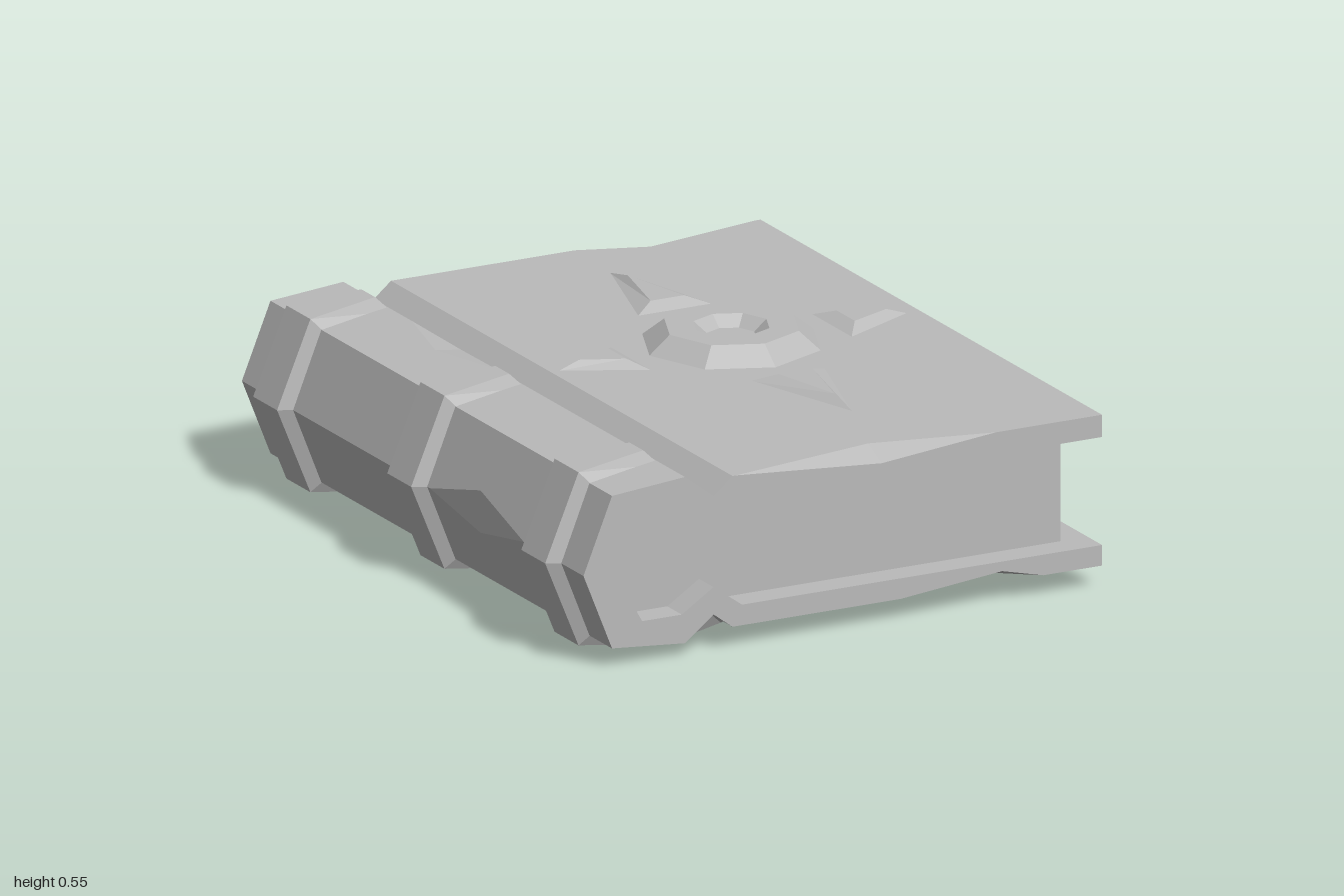
import * as THREE from 'three';

const V = (x, y, z) => new THREE.Vector3(x, y, z);
const stone = new THREE.MeshStandardMaterial({ color: 0xbababa });
stone.name = 'plain grey';

// Flat-faced mesh from a list of planar polygons (corners counter-clockwise from outside)
function newell(poly) {
  const n = V(0, 0, 0);
  poly.forEach((p, i) => n.add(p.clone().cross(poly[(i + 1) % poly.length])));
  return n.normalize();
}

function meshFrom(name, polys) {
  const out = [];
  for (const poly of polys) {
    const n = newell(poly);
    const u = (Math.abs(n.z) > 0.9 ? V(1, 0, 0) : V(0, 0, 1)).cross(n).normalize();
    const v = n.clone().cross(u);
    const flat = poly.map((p) => new THREE.Vector2(p.dot(u), p.dot(v)));
    for (const [a, b, c] of THREE.ShapeUtils.triangulateShape(flat, [])) {
      const t = [poly[a], poly[b], poly[c]];
      if (newell2(t).dot(n) < 0) t.reverse();
      t.forEach((p) => out.push(p.x, p.y, p.z));
    }
  }
  const g = new THREE.BufferGeometry();
  g.setAttribute('position', new THREE.Float32BufferAttribute(out, 3));
  g.computeVertexNormals();
  const m = new THREE.Mesh(g, stone);
  m.name = name;
  return m;
}

const newell2 = ([a, b, c]) => b.clone().sub(a).cross(c.clone().sub(a));

// Closed xy outline (counter-clockwise) pushed along z
function prism(outline, h) {
  const front = outline.map(([x, y]) => V(x, y, h));
  const back = outline.map(([x, y]) => V(x, y, -h));
  const polys = [front.slice(), back.slice().reverse()];
  front.forEach((p, i) => {
    const j = (i + 1) % front.length;
    polys.push([p.clone(), back[i].clone(), back[j].clone(), front[j].clone()]);
  });
  return polys;
}

// Cut a chip out of the edge A-B, reaching P and Q on the two faces beside it
function chip(polys, A, B, P, Q) {
  const onEdge = (p, a, b) => a.distanceTo(p) + p.distanceTo(b) - a.distanceTo(b) < 1e-5;
  for (const poly of polys) {
    const n = newell(poly);
    const off = (p) => Math.abs(p.clone().sub(poly[0]).dot(n));
    for (let i = 0; i < poly.length; i++) {
      const a = poly[i], b = poly[(i + 1) % poly.length];
      if (!onEdge(A, a, b) || !onEdge(B, a, b)) continue;
      const apex = off(P) < off(Q) ? P : Q;
      const [s, e] = a.distanceTo(A) < a.distanceTo(B) ? [A, B] : [B, A];
      poly.splice(i + 1, 0, s, apex, e);
      break;
    }
  }
  for (const [s, e] of [[A, B], [B, A]]) {
    const t = [s, P, Q];
    if (newell2(t).dot(e.clone().sub(s)) < 0) t.reverse();
    polys.push(t);
  }
}

// Strap wrapped around the spine: stations of ridge xy, foot xy, ridge and foot half-width
function strap(zc) {
  const stations = [
    [-0.48, 0.522, -0.48, 0.52, 0.05, 0.052],
    [-0.515, 0.557, -0.5, 0.515, 0.04, 0.056],
    [-0.735, 0.535, -0.7, 0.495, 0.07, 0.095],
    [-0.84, 0.285, -0.79, 0.285, 0.07, 0.095],
    [-0.735, 0.03, -0.7, 0.07, 0.07, 0.095],
    [-0.475, 0.003, -0.475, 0.043, 0.095, 0.145],
    [-0.39, 0.018, -0.39, 0.115, 0.095, 0.145],
    [-0.3, 0.037, -0.3, 0.07, 0.095, 0.145],
    [-0.12, 0.037, -0.07, 0.068, 0.004, 0.006],
  ].map(([x, y, bx, by, w, bw]) => [
    V(bx, by, zc - bw), V(x, y, zc - w), V(x, y, zc + w), V(bx, by, zc + bw),
  ]);
  const polys = [stations[0].slice().reverse()];
  for (let i = 0; i + 1 < stations.length; i++) {
    const s = stations[i], t = stations[i + 1];
    for (let k = 0; k < 3; k++) {
      polys.push([s[k + 1], s[k], t[k]], [s[k + 1], t[k], t[k + 1]]);
    }
  }
  polys.push(stations[stations.length - 1]);
  return meshFrom('spineStrap', polys);
}

// Bevelled arrow on the cover; points along +z before it is turned
function arrow(angle, near, far) {
  const w = 0.118, y0 = 0.504, y1 = 0.527, len = far - near;
  const base = [V(-w, y0, near), V(0, y0, far), V(w, y0, near)];
  const top = [V(-w * 0.45, y1, near + 0.045), V(0, y1, far - len * 0.28), V(w * 0.45, y1, near + 0.045)];
  const polys = [top];
  base.forEach((p, i) => {
    const j = (i + 1) % 3;
    polys.push([p, base[j], top[j]], [p, top[j], top[i]]);
  });
  const m = meshFrom('coverArrow', polys);
  m.rotation.y = angle;
  return m;
}

export function createModel() {
  const book = new THREE.Group();
  book.name = 'book';

  // Cover: two boards, hinge grooves and faceted spine in one outline
  const outer = [
    [0.835, 0.505], [-0.33, 0.505], [-0.39, 0.455], [-0.48, 0.525], [-0.71, 0.505], [-0.8, 0.285],
    [-0.71, 0.06], [-0.48, 0.04], [-0.39, 0.11], [-0.33, 0.065], [0.835, 0.065],
  ];
  const hollow = [
    [-0.3, 0.125], [-0.39, 0.19], [-0.49, 0.125], [-0.615, 0.125], [-0.705, 0.285],
    [-0.615, 0.44], [-0.49, 0.44], [-0.39, 0.375], [-0.3, 0.44],
  ];
  const cover = prism([...outer, [0.835, 0.125], ...hollow, [0.835, 0.44]], 1);

  // Worn chips along the edges
  chip(cover, V(-0.32, 0.505, 1), V(0.5, 0.505, 1), V(0.14, 0.505, 0.92), V(0.14, 0.47, 1));
  chip(cover, V(0.25, 0.505, -1), V(0.82, 0.505, -1), V(0.45, 0.505, -0.93), V(0.45, 0.47, -1));
  chip(cover, V(0.2, 0.065, 1), V(0.65, 0.065, 1), V(0.52, 0.065, 0.9), V(0.52, 0.097, 1));
  chip(cover, V(0.835, 0.44, -0.03), V(0.835, 0.44, -0.77), V(0.835, 0.475, -0.53), V(0.78, 0.44, -0.53));
  chip(cover, V(0.835, 0.065, -0.81), V(0.835, 0.065, -0.995), V(0.835, 0.09, -0.98), V(0.77, 0.065, -0.97));
  chip(cover, V(-0.48, 0.525, -0.6), V(-0.48, 0.525, -0.1), V(-0.54, 0.5198, -0.35), V(-0.46, 0.5094, -0.35));
  chip(cover, V(-0.8, 0.285, 0.1), V(-0.8, 0.285, 0.65), V(-0.775, 0.3461, 0.35), V(-0.775, 0.2225, 0.35));
  book.add(meshFrom('cover', cover));

  // Page block
  const pages = [[0.75, 0.44], [0.75, 0.125], ...hollow].reverse();
  book.add(meshFrom('pages', prism(pages, 0.915)));

  // Three straps over the spine
  for (const z of [-0.79, -0.005, 0.78]) book.add(strap(z));

  // Octagonal boss with a sunken centre, ringed by four arrows
  const emblem = new THREE.Group();
  emblem.name = 'coverEmblem';
  emblem.position.set(0.24, 0, -0.065);
  const ring = [[0.26, 0.504], [0.195, 0.556], [0.11, 0.556], [0.072, 0.525], [0, 0.525]]
    .map(([r, y]) => new THREE.Vector2(r, y));
  const lathe = new THREE.LatheGeometry(ring, 8).toNonIndexed();
  lathe.computeVertexNormals();
  const boss = new THREE.Mesh(lathe, stone);
  boss.name = 'boss';
  emblem.add(boss);
  emblem.add(arrow(0, 0.33, 0.71), arrow(Math.PI, 0.33, 0.715));
  emblem.add(arrow(Math.PI / 2, 0.315, 0.555), arrow(-Math.PI / 2, 0.315, 0.545));
  book.add(emblem);

  // Lathe built from rim to centre faces up once its winding is checked
  const p = lathe.attributes.position, nrm = lathe.attributes.normal;
  let up = 0;
  for (let i = 0; i < p.count; i++) up += nrm.getY(i);
  if (up < 0) {
    for (let i = 0; i < p.count; i += 3) {
      const a = V().fromBufferAttribute(p, i), c = V().fromBufferAttribute(p, i + 2);
      p.setXYZ(i, c.x, c.y, c.z);
      p.setXYZ(i + 2, a.x, a.y, a.z);
    }
    lathe.computeVertexNormals();
  }
  return book;
}
